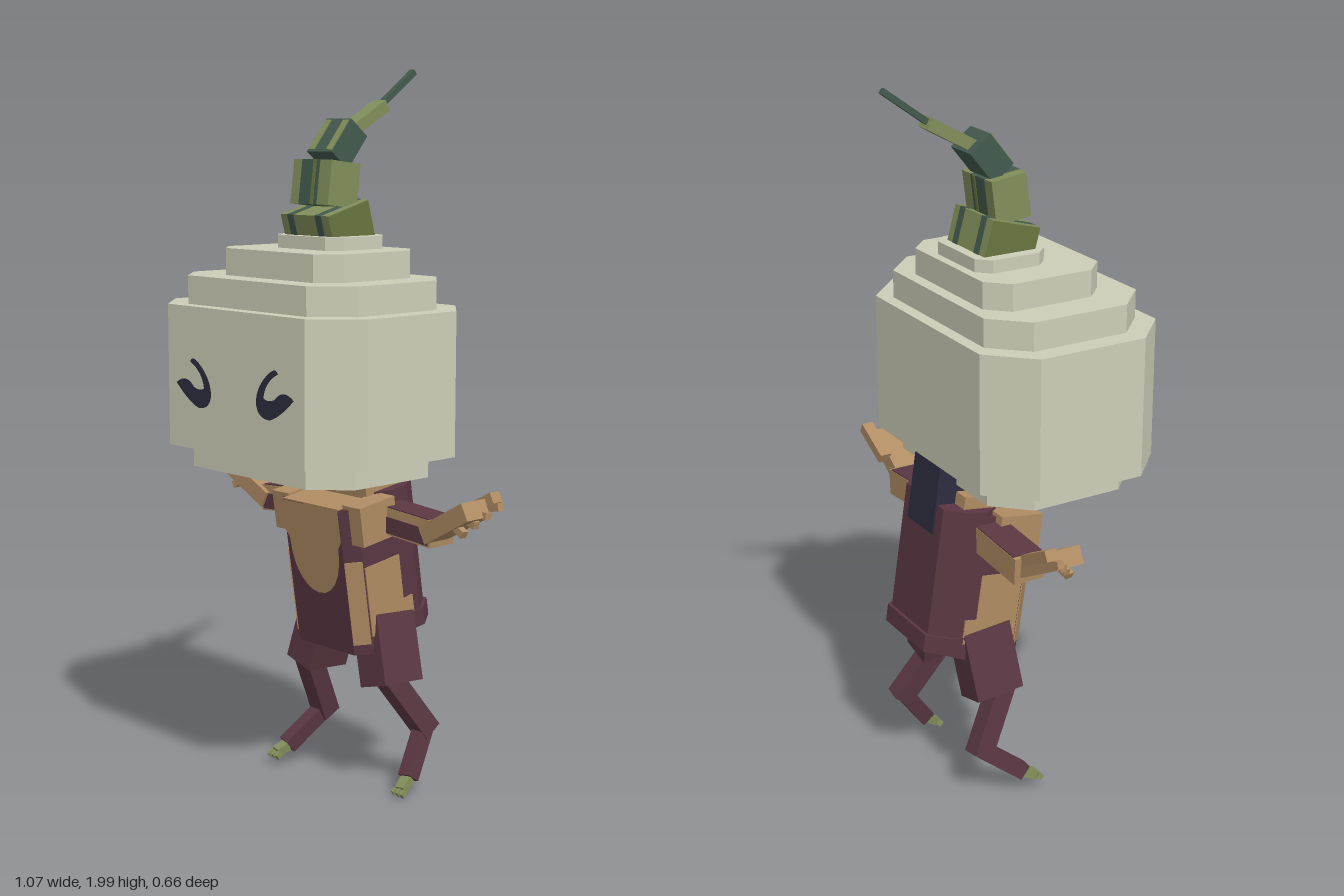
import * as THREE from 'three';

const mat = (name, color, side = THREE.FrontSide) => {
  const m = new THREE.MeshStandardMaterial({ color, side });
  m.name = name;
  return m;
};
const V = (x, y, z) => new THREE.Vector3(x, y, z);

export function createModel() {
  const model = new THREE.Group();
  const pale = mat('pale shell', 0xcdceb8);
  const tan = mat('tan skin', 0xb08c63);
  const maroon = mat('maroon cloth', 0x5a3742);
  const navy = mat('navy', 0x2d2d3f, THREE.DoubleSide);
  const green = mat('stem green', 0x818e5a);
  const teal = mat('dark green', 0x435a4d);
  const olive = mat('olive', 0x68763f);

  const add = (name, geo, material, parent = model) => {
    const m = new THREE.Mesh(geo, material);
    m.name = name;
    parent.add(m);
    return m;
  };
  const box = (name, w, h, d, x, y, z, material, parent) => {
    const m = add(name, new THREE.BoxGeometry(w, h, d), material, parent);
    m.position.set(x, y, z);
    return m;
  };
  // Box running from a to b, w wide along the side vector and t thick
  const bar = (name, a, b, w, t, material, side = V(1, 0, 0), parent = model) => {
    const Y = b.clone().sub(a), len = Y.length();
    Y.normalize();
    const X = side.clone().addScaledVector(Y, -side.dot(Y)).normalize();
    const Z = X.clone().cross(Y);
    const m = add(name, new THREE.BoxGeometry(w, len, t), material, parent);
    m.quaternion.setFromRotationMatrix(new THREE.Matrix4().makeBasis(X, Y, Z));
    m.position.copy(a).add(b).multiplyScalar(0.5);
    return m;
  };
  // Upright prism with chamfered corners
  const octagon = (name, hx, z0, z1, y0, y1, cx, cz, material, parent) => {
    const hz = (z1 - z0) / 2;
    const pts = [[hx, -hz + cz], [hx, hz - cz], [hx - cx, hz], [cx - hx, hz],
      [-hx, hz - cz], [-hx, cz - hz], [cx - hx, -hz], [hx - cx, -hz]];
    const shape = new THREE.Shape(pts.map(p => new THREE.Vector2(...p)));
    const geo = new THREE.ExtrudeGeometry(shape, { depth: y1 - y0, bevelEnabled: false });
    geo.rotateX(-Math.PI / 2).translate(0, y0, (z0 + z1) / 2);
    return add(name, geo, material, parent);
  };

  // Stepped head shell
  const head = new THREE.Group();
  head.name = 'head';
  model.add(head);
  [[0.32, -0.16, 0.285, 0.925, 0.975, 0.09],
    [0.39, -0.21, 0.33, 0.985, 1.37, 0.112],
    [0.332, -0.175, 0.29, 1.37, 1.447, 0.092],
    [0.232, -0.14, 0.21, 1.447, 1.52, 0.056],
    [0.13, -0.115, 0.095, 1.52, 1.555, 0.035]].forEach(([hx, z0, z1, y0, y1, c], i) =>
    octagon('headTier' + i, hx, z0, z1, y0, y1, c, c, pale, head));
  octagon('headSeam', 0.3, -0.15, 0.27, 0.974, 0.986, 0.09, 0.09, navy, head);

  // Eyes with a curling lash
  for (const s of [-1, 1]) {
    const eye = new THREE.Shape();
    eye.moveTo(s * 0.24, 1.16);
    eye.quadraticCurveTo(s * 0.2, 1.19, s * 0.165, 1.155);
    eye.quadraticCurveTo(s * 0.14, 1.145, s * 0.122, 1.155);
    eye.quadraticCurveTo(s * 0.13, 1.2, s * 0.18, 1.222);
    eye.quadraticCurveTo(s * 0.17, 1.245, s * 0.13, 1.21);
    eye.quadraticCurveTo(s * 0.09, 1.175, s * 0.093, 1.135);
    eye.quadraticCurveTo(s * 0.1, 1.1, s * 0.145, 1.1);
    eye.quadraticCurveTo(s * 0.185, 1.11, s * 0.24, 1.16);
    add(s > 0 ? 'leftEye' : 'rightEye', new THREE.ShapeGeometry(eye), navy, head).position.z = 0.333;
  }

  // Bent stem of shrinking blocks
  const stem = new THREE.Group();
  stem.name = 'stem';
  model.add(stem);
  const X = V(1, 0, 0);
  const base = bar('stemBase', V(0, 1.533, -0.015), V(0, 1.63, 0.012), 0.19, 0.15, green, X, stem);
  const mid = bar('stemMiddle', V(0, 1.632, 0.015), V(0, 1.75, 0), 0.15, 0.105, green, X, stem);
  bar('stemBend', V(0, 1.753, 0), V(0, 1.84, -0.07), 0.1, 0.075, teal, X, stem);
  bar('stemUpper', V(0, 1.822, -0.06), V(0, 1.9, -0.2), 0.05, 0.032, green, X, stem);
  bar('stemTip', V(0, 1.9, -0.195), V(0, 1.992, -0.322), 0.018, 0.016, teal, X, stem);
  for (const s of [-1, 1]) {
    box('baseStripe', 0.025, 0.102, 0.153, s * 0.055, 0, 0, teal, base);
    box('baseSide', 0.004, 0.098, 0.148, s * 0.094, 0, 0, olive, base);
    box('bendStripe', 0.022, 0.1, 0.005, s * 0.035, 0, 0.038, green, stem.children[2]);
  }
  box('middleStripe', 0.07, 0.12, 0.109, -0.005, 0, 0, teal, mid);
  box('middleStripeThin', 0.012, 0.12, 0.112, 0.012, 0, 0, olive, mid);

  // Torso leaning forward, with the padded back
  const torso = new THREE.Group();
  torso.name = 'torso';
  torso.position.set(0, 0.63, -0.08);
  torso.rotation.x = 0.15;
  model.add(torso);
  octagon('body', 0.15, -0.11, 0.115, -0.21, 0.21, 0.037, 0.037, maroon, torso);
  octagon('backPad', 0.148, -0.175, 0, -0.17, 0.225, 0.045, 0.06, maroon, torso);
  octagon('backPadBase', 0.153, -0.185, 0, -0.19, -0.14, 0.045, 0.06, maroon, torso);
  box('collar', 0.235, 0.06, 0.13, 0, 0.23, -0.055, tan, torso);
  box('neck', 0.138, 0.3, 0.13, 0, 0.29, -0.115, navy, torso);
  const chest = new THREE.Shape();
  chest.moveTo(-0.113, 0.21);
  chest.lineTo(-0.113, 0.12);
  chest.lineTo(-0.1, 0.1);
  chest.bezierCurveTo(-0.1, -0.095, 0.1, -0.095, 0.1, 0.1);
  chest.lineTo(0.113, 0.12);
  chest.lineTo(0.113, 0.21);
  add('chestPatch', new THREE.ShapeGeometry(chest), tan, torso).position.z = 0.117;
  box('chestTop', 0.226, 0.005, 0.2, 0, 0.211, 0.015, tan, torso);
  for (const s of [-1, 1]) {
    box('flankPatch', 0.006, 0.2, 0.13, s * 0.15, -0.06, 0.01, tan, torso);
    box('flankPatchLow', 0.006, 0.07, 0.06, s * 0.15, -0.125, -0.06, tan, torso);
    const edge = box('flankEdge', 0.05, 0.24, 0.005, s * 0.132, -0.06, 0.097, tan, torso);
    edge.rotation.y = s * Math.PI / 4;
    box('shoulder', 0.07, 0.11, 0.13, s * 0.145, 0.165, 0.03, tan, torso);
  }

  // Arms, hands and legs
  for (const s of [-1, 1]) {
    const side = s > 0 ? 'left' : 'right';
    const P = (x, y, z) => V(s * x, y, z);
    const depth = V(0, 0, 1);
    const upper = bar(side + 'UpperArm', P(0.12, 0.79, -0.1), P(0.345, 0.775, -0.1), 0.09, 0.075, tan, depth);
    box('sleeveFront', 0.005, 0.16, 0.045, 0.0455, 0.025, s * -0.01, maroon, upper);
    box('sleeveUnder', 0.088, 0.2, 0.005, 0, 0, s * 0.038, maroon, upper);
    bar(side + 'Forearm', P(0.325, 0.772, -0.085), P(0.49, 0.862, -0.075), 0.085, 0.05, tan, depth);
    bar(side + 'Thumb', P(0.39, 0.83, -0.135), P(0.505, 0.89, -0.135), 0.035, 0.03, tan, depth);
    for (let i = 0; i < 4; i++) {
      bar(side + 'Finger', P(0.42 + i * 0.022, 0.82 + i * 0.013, -0.06 - i * 0.022),
        P(0.468 + i * 0.021, 0.795 + i * 0.025, -0.055 - i * 0.023), 0.02, 0.02, tan, depth);
    }
    bar(side + 'Thigh', P(0.1, 0.52, -0.115), P(0.157, 0.315, -0.1), 0.1, 0.145, maroon);
    const knee = P(0.15, 0.34, s > 0 ? -0.085 : -0.06);
    const hock = s > 0 ? P(0.182, 0.16, -0.215) : P(0.182, 0.14, -0.16);
    const ankle = s > 0 ? P(0.208, 0.05, -0.115) : P(0.208, 0.06, -0.03);
    const toe = s > 0 ? P(0.215, 0.024, -0.08) : P(0.215, 0.044, 0.005);
    bar(side + 'Shin', knee, hock, 0.055, 0.06, maroon);
    bar(side + 'Foot', hock.clone().lerp(knee, 0.08), ankle, 0.04, 0.045, maroon);
    bar(side + 'Ankle', ankle, toe, 0.03, 0.026, green);
    for (const k of [-1, 0, 1]) {
      const off = V(k * 0.014, 0, 0);
      bar(side + 'Toe', toe.clone().add(off), toe.clone().add(V(k * 0.018, -0.01, 0.014)), 0.01, 0.016, green);
    }
  }
  return model;
}
